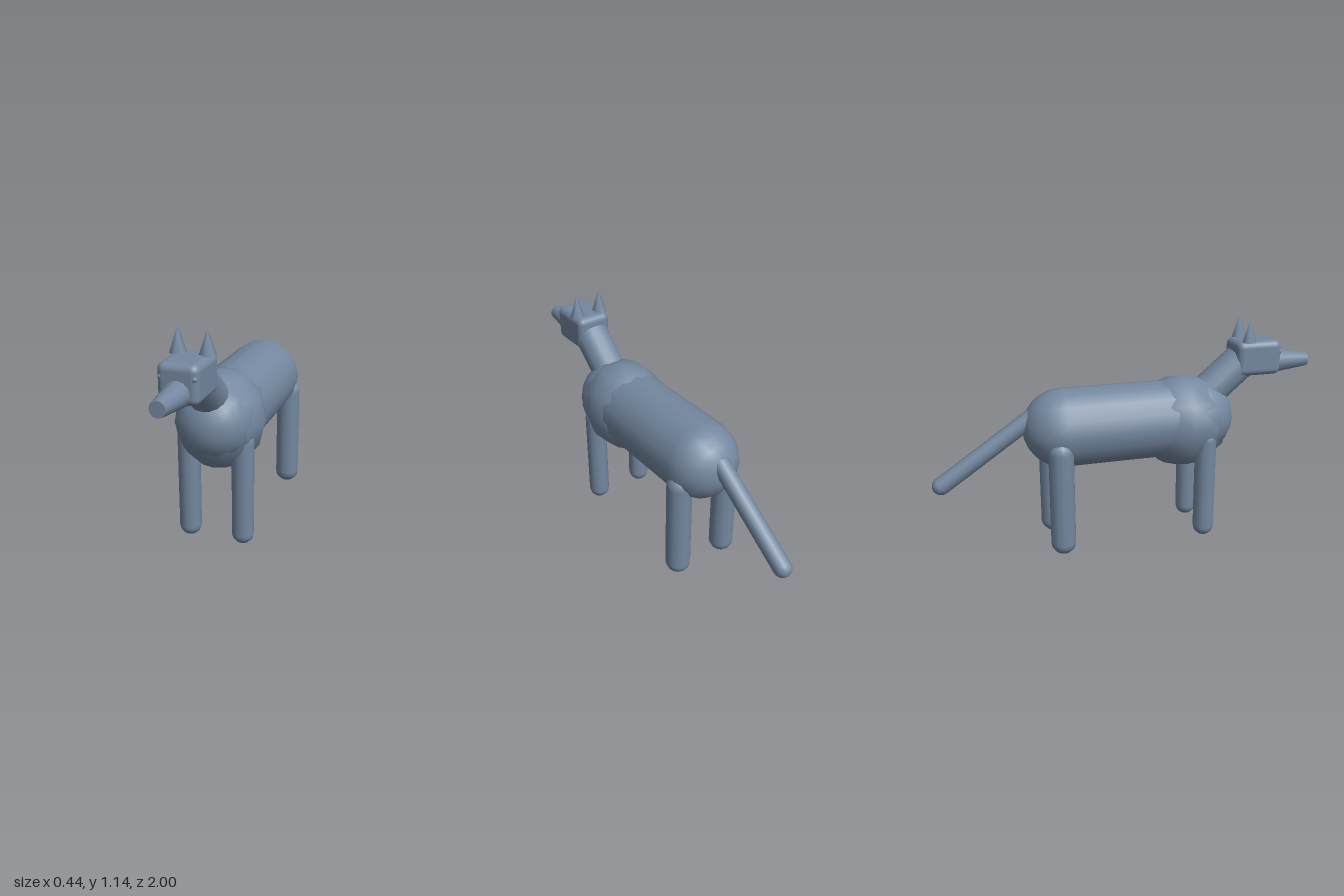
import * as THREE from 'three';
import { RoundedBoxGeometry } from 'three/addons/geometries/RoundedBoxGeometry.js';

const coat = new THREE.MeshStandardMaterial({ color: 0x7488a0 });
coat.name = 'slate coat';

export function createModel() {
  const model = new THREE.Group();
  model.name = 'dog';

  function add(name, geometry, x = 0, y = 0, z = 0) {
    const mesh = new THREE.Mesh(geometry, coat);
    mesh.name = name;
    mesh.position.set(x, y, z);
    model.add(mesh);
    return mesh;
  }

  // Turn a y-aligned mesh so it runs from point a to point b
  function span(mesh, a, b) {
    mesh.position.copy(a).add(b).multiplyScalar(0.5);
    mesh.quaternion.setFromUnitVectors(new THREE.Vector3(0, 1, 0), b.clone().sub(a).normalize());
    return mesh;
  }
  const at = (y, z) => new THREE.Vector3(0, y, z);

  // Barrel body and fuller chest
  const body = add('body', new THREE.CapsuleGeometry(0.2, 0.71, 6, 16), 0, 0.63, 0.015);
  body.rotation.x = Math.PI / 2;
  body.scale.x = 0.98;
  add('chest', new THREE.SphereGeometry(1, 12, 6), 0, 0.613, 0.3).scale.set(0.22, 0.243, 0.26);

  // Neck
  const neckBase = at(0.68, 0.35), neckTop = at(0.907, 0.618);
  span(add('neck', new THREE.CylinderGeometry(0.092, 0.092, neckBase.distanceTo(neckTop), 16)), neckBase, neckTop);

  // Head and tapered muzzle
  add('head', new RoundedBoxGeometry(0.19, 0.182, 0.245, 3, 0.035), 0, 0.934, 0.692);
  const muzzle = add('muzzle', new THREE.CylinderGeometry(0.037, 0.066, 0.225, 12), 0, 0.895, 0.8875);
  muzzle.rotation.x = Math.PI / 2;

  // Ears, eyes and legs on both sides
  for (const [side, s] of [['left', 1], ['right', -1]]) {
    add(side + 'Ear', new THREE.ConeGeometry(0.04, 0.12, 6), s * 0.068, 1.08, 0.635);
    add(side + 'Eye', new THREE.SphereGeometry(0.014, 8, 6), s * 0.075, 0.964, 0.802);
    add(side + 'FrontLeg', new THREE.CapsuleGeometry(0.055, 0.48, 5, 12), s * 0.138, 0.297, 0.385);
    add(side + 'HindLeg', new THREE.CapsuleGeometry(0.064, 0.48, 5, 12), s * 0.143, 0.305, -0.376);
  }

  // Tail sloping down behind the body
  const tailRoot = at(0.69, -0.5), tailTip = at(0.38, -0.955);
  span(add('tail', new THREE.CapsuleGeometry(0.045, tailRoot.distanceTo(tailTip), 5, 10)), tailRoot, tailTip);

  return model;
}
